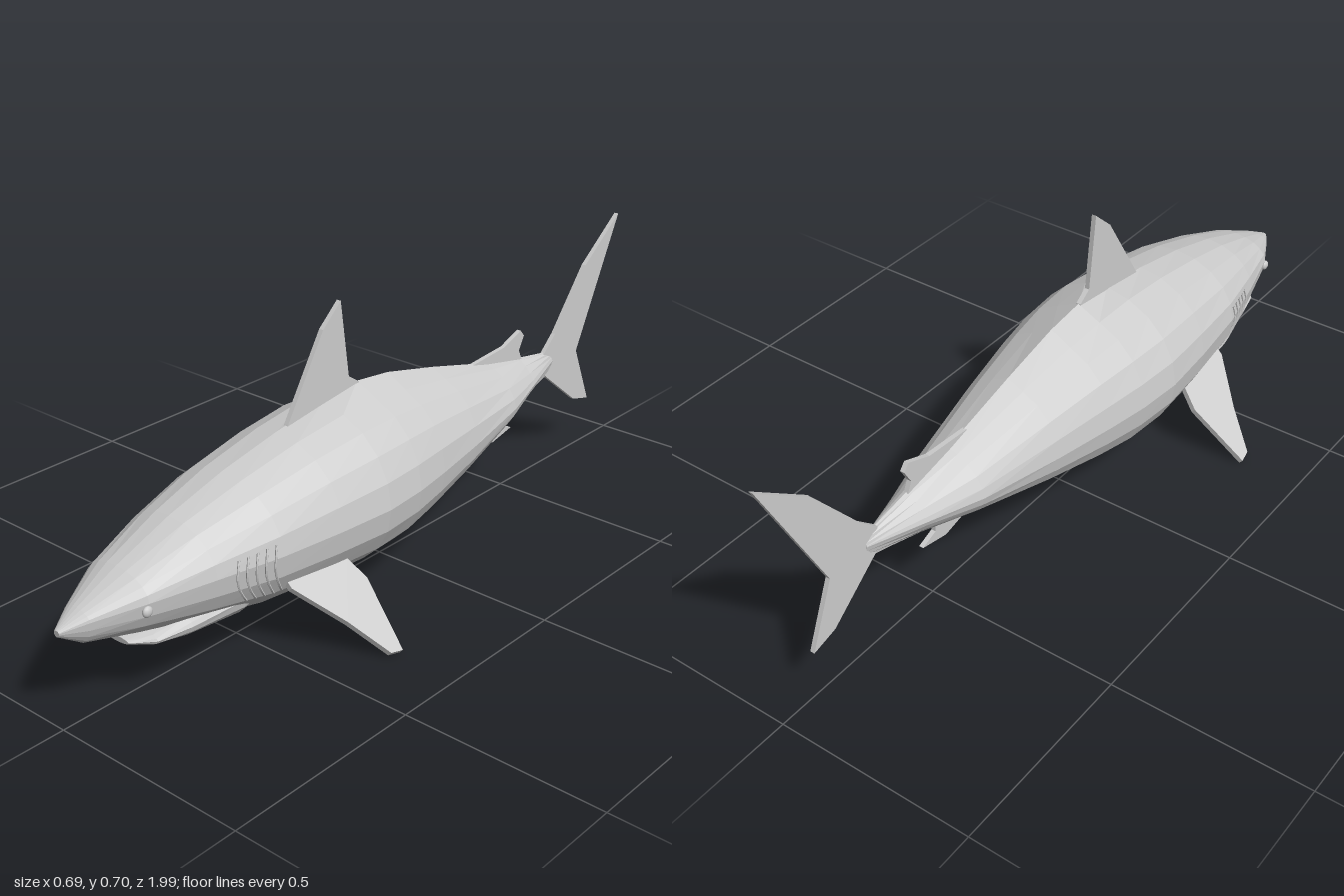
import * as THREE from 'three';

const SIDES = 20;
const grey = new THREE.MeshStandardMaterial({ color: 0xcccccc, flatShading: true, side: THREE.DoubleSide });
const smooth = new THREE.MeshStandardMaterial({ color: 0xcccccc });

// Body stations, nose to tail: z, widest height, half width, top, bottom, roundness (2 = ellipse, 1 = diamond), crest
const BODY = [
  [0.995, 0.232, 0.008, 0.237, 0.222, 2, 0],
  [0.94, 0.245, 0.04, 0.266, 0.185, 2, 0],
  [0.83, 0.262, 0.096, 0.317, 0.16, 2, 0],
  [0.68, 0.268, 0.14, 0.373, 0.128, 2, 0],
  [0.52, 0.27, 0.178, 0.418, 0.097, 2, 0],
  [0.35, 0.268, 0.197, 0.452, 0.084, 2, 0],
  [0.2, 0.266, 0.207, 0.473, 0.076, 2, 0.003],
  [0.08, 0.266, 0.197, 0.488, 0.078, 2, 0.02],
  [-0.03, 0.266, 0.178, 0.475, 0.098, 2, 0.02],
  [-0.2, 0.268, 0.145, 0.435, 0.138, 1.95, 0.012],
  [-0.42, 0.277, 0.1, 0.377, 0.192, 1.7, 0.005],
  [-0.56, 0.286, 0.056, 0.348, 0.223, 1.4, 0],
  [-0.71, 0.295, 0.008, 0.322, 0.258, 1, 0],
];

// Lower jaw stations, same columns
const JAW = [
  [0.845, 0.152, 0.04, 0.158, 0.144, 2, 0],
  [0.8, 0.152, 0.08, 0.17, 0.13, 2, 0],
  [0.72, 0.16, 0.103, 0.19, 0.115, 2, 0],
  [0.58, 0.17, 0.12, 0.2, 0.102, 2, 0],
  [0.48, 0.18, 0.11, 0.2, 0.11, 2, 0],
];

// Point on a station; angle 0 is the top, a quarter turn is the left side
function stationPoint([z, mid, w, top, bottom, p, crest], angle) {
  const s = Math.sin(angle), c = Math.cos(angle);
  const bend = (v) => Math.sign(v) * Math.pow(Math.abs(v), 2 / p);
  const lift = c > 0.999 ? 0 : crest;
  const height = c > 0 ? top - lift - mid : mid - bottom;
  return new THREE.Vector3(w * bend(s), mid + height * bend(c), z);
}

function loft(stations) {
  const pos = [], index = [];
  for (const st of stations) {
    for (let i = 0; i < SIDES; i++) pos.push(...stationPoint(st, (i / SIDES) * Math.PI * 2).toArray());
  }
  const last = (stations.length - 1) * SIDES;
  for (let r = 0; r < last; r += SIDES) {
    for (let i = 0; i < SIDES; i++) {
      const a = r + i, b = r + ((i + 1) % SIDES);
      index.push(a, b, a + SIDES, b, b + SIDES, a + SIDES);
    }
  }
  for (let i = 1; i < SIDES - 1; i++) index.push(0, i + 1, i, last, last + i, last + i + 1);
  const geo = new THREE.BufferGeometry();
  geo.setAttribute('position', new THREE.Float32BufferAttribute(pos, 3));
  geo.setIndex(index);
  geo.computeVertexNormals();
  return geo;
}

// Point on the body skin at any z
function skinPoint(z, angle) {
  let k = 0;
  while (k < BODY.length - 2 && BODY[k + 1][0] > z) k++;
  const t = (BODY[k][0] - z) / (BODY[k][0] - BODY[k + 1][0]);
  return stationPoint(BODY[k], angle).lerp(stationPoint(BODY[k + 1], angle), t);
}

// Flat fin in the z-y plane from [z, y] corners
function finGeometry(corners, thickness) {
  const shape = new THREE.Shape(corners.map(([z, y]) => new THREE.Vector2(z, y)));
  const geo = new THREE.ExtrudeGeometry(shape, { depth: thickness, bevelEnabled: false });
  return geo.translate(0, 0, -thickness / 2).rotateY(-Math.PI / 2);
}

export function createModel() {
  const model = new THREE.Group();
  model.name = 'shark';
  const add = (name, geo, material = grey) => {
    const mesh = new THREE.Mesh(geo, material);
    mesh.name = name;
    model.add(mesh);
    return mesh;
  };

  add('body', loft(BODY));
  add('lowerJaw', loft(JAW));

  // Fins on the centre line
  add('dorsalFin', finGeometry([[0.33, 0.44], [0.32, 0.458], [0.2, 0.65], [0.14, 0.703], [0.115, 0.512], [0.08, 0.488], [0.08, 0.44]], 0.012));
  add('secondDorsalFin', finGeometry([[-0.36, 0.36], [-0.36, 0.391], [-0.49, 0.4], [-0.56, 0.426], [-0.575, 0.408], [-0.555, 0.372], [-0.57, 0.34]], 0.012));
  add('analFin', finGeometry([[-0.3, 0.18], [-0.38, 0.16], [-0.45, 0.143], [-0.53, 0.16], [-0.485, 0.178], [-0.48, 0.23]], 0.012));
  add('tailFin', finGeometry([[-0.67, 0.325], [-0.72, 0.37], [-0.85, 0.53], [-0.999, 0.641], [-0.825, 0.29], [-0.893, 0.127], [-0.825, 0.145], [-0.68, 0.26]], 0.012));

  for (const side of [1, -1]) {
    const label = side > 0 ? 'left' : 'right';

    // Pectoral fin: drawn upright, then swung out and down
    const pectoral = finGeometry([[0.49, -0.05], [0.49, 0], [0.41, 0.125], [0.355, 0.232], [0.322, 0.24], [0.292, 0.06], [0.31, 0], [0.31, -0.05]], 0.014);
    pectoral.rotateZ(-side * 2.325).translate(side * 0.165, 0.171, 0);
    add(label + 'PectoralFin', pectoral);

    // Eye
    const eye = add(label + 'Eye', new THREE.SphereGeometry(1, 12, 8), smooth);
    eye.scale.set(0.008, 0.013, 0.013);
    eye.position.set(side * 0.094, 0.245, 0.835);

    // Five gill slits bowed along the skin
    for (let g = 0; g < 5; g++) {
      const points = [];
      for (let i = 0; i <= 6; i++) {
        const t = i / 6;
        const z = 0.625 - g * 0.023 + 0.022 * Math.sin(Math.PI * t) - 0.035 * t;
        const p = skinPoint(z, 1.35 + t * 0.85);
        p.x *= side;
        points.push(p);
      }
      add(label + 'Gill' + (g + 1), new THREE.TubeGeometry(new THREE.CatmullRomCurve3(points), 12, 0.003, 5));
    }
  }
  return model;
}
